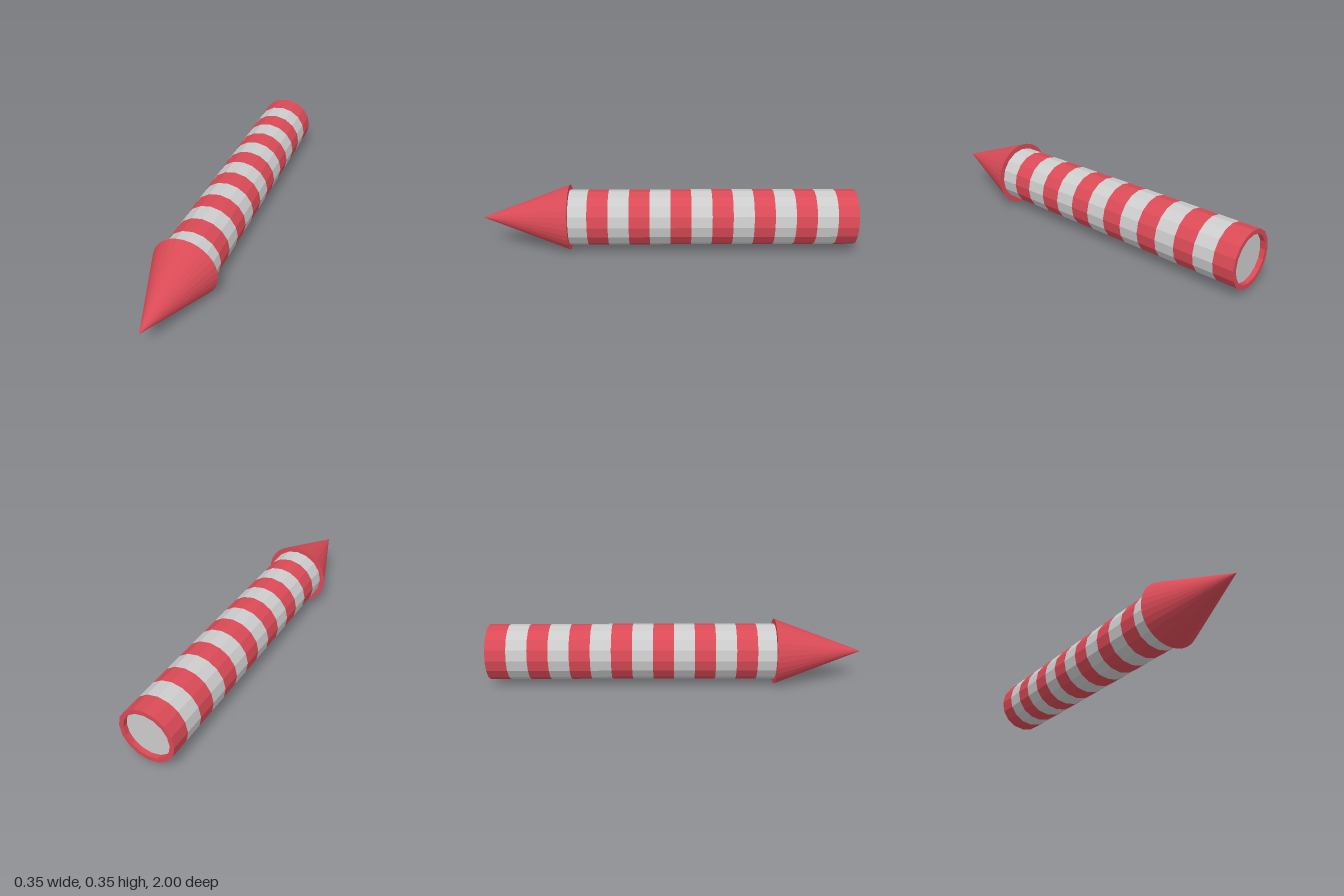
import * as THREE from 'three';

const AXIS_Y = 0.176;
const BODY_R = 0.149, BORE_R = 0.125, RECESS = 0.025;
const REAR = -1, NECK = 0.53, BAND = 0.11;

export function createModel() {
  const group = new THREE.Group();
  const red = new THREE.MeshStandardMaterial({ color: 0xd94a56, flatShading: true });
  const grey = new THREE.MeshStandardMaterial({ color: 0xcccccc, flatShading: true });

  const add = (name, geometry, material, z) => {
    const mesh = new THREE.Mesh(geometry, material);
    mesh.name = name;
    mesh.position.set(0, AXIS_Y, z);
    group.add(mesh);
  };

  // Alternating stripes along the 16-sided tube, starting red at the rear
  for (let i = 0, z = REAR; z < NECK - 0.01; i++, z += BAND) {
    const length = Math.min(BAND, NECK - z);
    const band = new THREE.CylinderGeometry(BODY_R, BODY_R, length, 16, 1, true).rotateX(Math.PI / 2);
    add(i % 2 ? 'greyStripe' : 'redStripe', band, i % 2 ? grey : red, z + length / 2);
  }

  // Rear rim and the shallow wall inside it
  const rim = new THREE.LatheGeometry([
    new THREE.Vector2(BORE_R, RECESS),
    new THREE.Vector2(BORE_R, 0),
    new THREE.Vector2(BODY_R, 0),
  ], 16).rotateX(Math.PI / 2);
  const rimMaterial = red.clone();
  rimMaterial.side = THREE.DoubleSide;
  add('rearRim', rim, rimMaterial, REAR);

  // Recessed plug closing the rear, facing backwards
  const plug = new THREE.CircleGeometry(BORE_R, 16).rotateY(Math.PI);
  add('rearPlug', plug, grey, REAR + RECESS);

  // Pointed nose, slightly wider than the tube
  const nose = new THREE.ConeGeometry(0.176, 1 - NECK, 32).rotateX(Math.PI / 2);
  add('noseCone', nose, red, (1 + NECK) / 2);

  return group;
}
